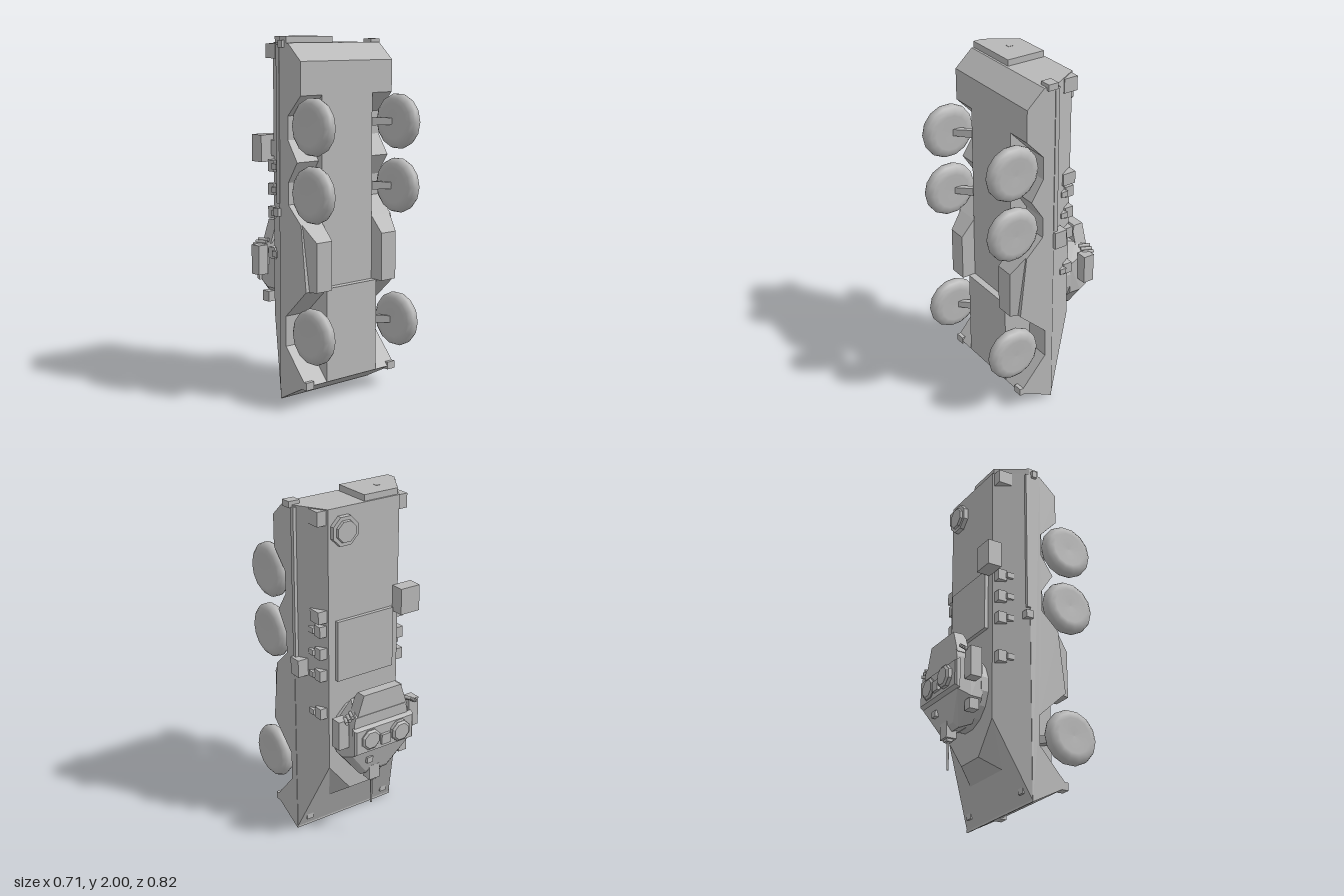
import * as THREE from 'three';
import { ConvexGeometry } from 'three/addons/geometries/ConvexGeometry.js';

// The vehicle stands on its nose: forward is -y, its roof faces -z.
export function createModel() {
  const root = new THREE.Group();
  const grey = new THREE.MeshStandardMaterial({ color: 0xb8b8b8 });
  grey.name = 'plain grey';

  const add = (name, geo, x = 0, y = 0, z = 0) => {
    const m = new THREE.Mesh(geo, grey);
    m.name = name;
    m.position.set(x, y, z);
    root.add(m);
    return m;
  };
  // box given by its limits
  const box = (name, x0, x1, y0, y1, z0, z1) =>
    add(name, new THREE.BoxGeometry(x1 - x0, y1 - y0, Math.abs(z1 - z0)),
      (x0 + x1) / 2, (y0 + y1) / 2, (z0 + z1) / 2);
  const hull = (name, pts) =>
    add(name, new ConvexGeometry(pts.map((p) => new THREE.Vector3(...p))));
  // corners listed for +x, repeated for -x
  const mirrored = (pts, cx = 0) => pts.flatMap(([x, y, z]) => [[cx + x, y, z], [cx - x, y, z]]);
  // side profile of [z, y] points, extruded across x
  const slab = (name, pts, x0, x1) => {
    const g = new THREE.ExtrudeGeometry(
      new THREE.Shape(pts.map((p) => new THREE.Vector2(...p))),
      { depth: x1 - x0, bevelEnabled: false });
    g.rotateY(-Math.PI / 2).translate(x1, 0, 0);
    return add(name, g);
  };
  // round part whose axis runs along -z
  const disc = (name, rTop, rBase, x, y, z0, z1, sides) => {
    const g = new THREE.CylinderGeometry(rTop, rBase, z0 - z1, sides, 1).toNonIndexed();
    g.rotateY(Math.PI / sides).rotateX(-Math.PI / 2);
    g.computeVertexNormals();
    return add(name, g, x, y, (z0 + z1) / 2);
  };

  // Hull: keel, upper body, raised front wedge
  slab('keel', [[0, 0], [0.22, 0.115], [0.22, 0.64], [0.18, 0.64], [0.18, 1.87],
    [0.075, 1.965], [0, 1.965]], -0.185, 0.185);
  hull('upperHull', mirrored([[0.335, 0, 0.005], [0.335, 1.965, 0.005],
    [0.23, 1.965, -0.178], [0.23, 0.455, -0.178]]));
  hull('frontWedge', mirrored([[0.17, 0.2, -0.07], [0.09, 0.28, -0.178],
    [0.23, 0.455, -0.178], [0.17, 0.4, -0.05]]));

  // Side skirts with wheel arches
  const skirt = [[0, 0], [0.22, 0.115], [0.05, 0.31], [0.05, 0.48], [0.22, 0.64], [0.18, 1.0],
    [0.075, 1.1], [0.075, 1.22], [0.15, 1.335], [0.075, 1.45], [0.075, 1.58],
    [0.18, 1.69], [0.18, 1.87], [0.075, 1.965], [0, 1.965]];
  slab('rightSkirt', skirt, -0.335, -0.185);
  slab('leftSkirt', skirt, 0.185, 0.335);

  // Wheels and suspension arms
  const tyre = [[0, -0.04], [0.1, -0.043], [0.128, -0.04], [0.148, -0.024], [0.155, -0.008],
    [0.155, 0.008], [0.148, 0.024], [0.128, 0.04], [0.1, 0.043], [0, 0.038]]
    .map((p) => new THREE.Vector2(...p));
  const wheelGeo = new THREE.LatheGeometry(tyre, 14);
  for (const s of [-1, 1]) {
    for (const y of [0.4, 1.17, 1.53]) {
      const w = add('wheel', wheelGeo, s * 0.312, y, 0.257);
      w.rotation.z = -s * Math.PI / 2;
      const arm = [];
      for (const d of [-1, 1]) {
        arm.push([s * 0.16, y + d * 0.025, 0.08], [s * 0.16, y + d * 0.025, 0.14],
          [s * 0.285, y + d * 0.018, 0.22], [s * 0.285, y + d * 0.018, 0.26]);
      }
      hull('suspensionArm', arm);
    }
    // Storage bin between the axles
    hull('sideBin', [[0.185, 0.638, 0.1], [0.185, 1.0, 0.1], [0.33, 0.638, 0.1], [0.33, 1.0, 0.1],
      [0.185, 0.638, 0.262], [0.185, 0.91, 0.262], [0.295, 0.638, 0.262], [0.295, 0.91, 0.262],
      [0.185, 1.0, 0.18], [0.326, 1.0, 0.18], [0.326, 0.638, 0.18]]
      .map(([x, y, z]) => [s * x, y, z]));

    const side = (name, x0, x1, ...r) =>
      box(name, Math.min(s * x0, s * x1), Math.max(s * x0, s * x1), ...r);
    // Lamps, side rail and rear corner boxes
    side('lowerLamp', 0.28, 0.335, 0.095, 0.138, 0.17, 0.222);
    side('frontLamp', 0.245, 0.285, 0.055, 0.1, 0.0, -0.03);
    side('sideRail', 0.3, 0.339, 1.1, 1.955, 0.005, -0.02);
    side('rearCornerBox', 0.22, 0.29, 1.88, 1.96, -0.085, -0.168);
    // Grab brackets along the sloped side
    for (const y of [0.8, 1.03, 1.16, 1.29]) {
      side('bracket', 0.22, 0.28, y - 0.032, y + 0.032, -0.115, -0.168);
      side('bracketFoot', 0.25, 0.295, y - 0.016, y + 0.016, -0.08, -0.12);
    }
  }

  // Rear door and handle
  const door = [];
  for (const y of [1.95, 2.0]) {
    door.push([-0.225, y, -0.168], [-0.007, y, -0.168], [-0.007, y, 0.062],
      [-0.335, y, 0.062], [-0.335, y, 0.005]);
  }
  hull('rearDoor', door);
  box('doorHandle', -0.182, -0.156, 1.99, 2.002, -0.045, -0.072);

  // Loose fittings
  box('tailLamp', 0.285, 0.352, 1.95, 1.985, 0.0, 0.06);
  box('tailMarker', -0.353, -0.325, 1.94, 1.98, 0.015, 0.045);
  box('sideBox', 0.29, 0.356, 1.01, 1.11, 0.005, -0.07);
  box('sideMarker', -0.353, -0.3, 1.03, 1.075, 0.01, -0.035);
  box('upperSideBox', 0.21, 0.29, 1.34, 1.41, -0.09, -0.17);
  box('roofBox', -0.32, -0.195, 1.31, 1.46, -0.175, -0.258);
  box('roofBoxMount', -0.25, -0.2, 1.34, 1.43, -0.13, -0.19);

  // Roof panel and rear hatch
  box('roofPanel', -0.185, 0.185, 0.99, 1.34, -0.17, -0.2);
  disc('rearHatch', 0.085, 0.088, 0.135, 1.84, -0.17, -0.203, 8);
  disc('rearHatchLid', 0.06, 0.065, 0.135, 1.84, -0.2, -0.217, 8);

  // Turret: ring, faceted body, rear bustle, roof plate
  const tx = 0.01;
  disc('turretRing', 0.205, 0.205, tx, 0.655, -0.17, -0.222, 16);
  hull('turretBody', mirrored([
    [0.1, 0.46, -0.215], [0.2, 0.57, -0.215], [0.2, 0.76, -0.215], [0.1, 0.87, -0.215],
    [0.09, 0.425, -0.295], [0.205, 0.57, -0.285], [0.195, 0.79, -0.29], [0.14, 0.86, -0.29],
    [0.075, 0.455, -0.32], [0.19, 0.6, -0.36], [0.18, 0.79, -0.36], [0.17, 0.83, -0.36],
  ], tx));
  hull('bustle', mirrored([[0.17, 0.82, -0.285], [0.17, 0.82, -0.358], [0.125, 0.95, -0.3],
    [0.125, 0.95, -0.358], [0.135, 0.92, -0.285]], 0));
  hull('turretRoof', mirrored([[0.2, 0.6, -0.355], [0.2, 0.77, -0.355],
    [0.2, 0.61, -0.375], [0.2, 0.76, -0.375], [0.19, 0.615, -0.383], [0.19, 0.755, -0.383]]));

  // Turret hatches and sight
  for (const [x, top] of [[-0.098, -0.412], [0.095, -0.398]]) {
    disc('turretHatch', 0.065, 0.065, x, 0.688, -0.375, top + 0.01, 8);
    disc('turretHatchLid', 0.05, 0.062, x, 0.688, top + 0.01, top, 8);
  }
  box('roofSight', -0.03, 0.03, 0.64, 0.7, -0.378, -0.4);
  box('frontSight', 0.06, 0.1, 0.525, 0.56, -0.325, -0.36);
  box('cheekBox', -0.215, -0.16, 0.49, 0.55, -0.25, -0.305);

  // Side boxes and smoke launchers
  for (const s of [-1, 1]) {
    add('turretSideBox', new THREE.BoxGeometry(0.066, 0.17, 0.066), s * 0.239, 0.735, -0.3);
    box('sideBoxMount', Math.min(s * 0.17, s * 0.22), Math.max(s * 0.17, s * 0.22),
      0.7, 0.77, -0.28, -0.32);
    for (let i = 0; i < 3; i++) {
      const tube = add('smokeLauncher', new THREE.CylinderGeometry(0.01, 0.01, 0.065, 8),
        s * (0.188 + i * 0.018), 0.84 - i * 0.012, -0.328);
      tube.rotation.set(-Math.PI / 2, 0, 0);
      tube.rotateZ(-s * 0.4);
    }
  }

  // Gun
  box('mantlet', -0.01, 0.06, 0.39, 0.48, -0.265, -0.328);
  box('muzzleCollar', 0.005, 0.045, 0.375, 0.4, -0.28, -0.315);
  add('barrel', new THREE.CylinderGeometry(0.007, 0.006, 0.18, 8), 0.025, 0.31, -0.298);

  return root;
}
